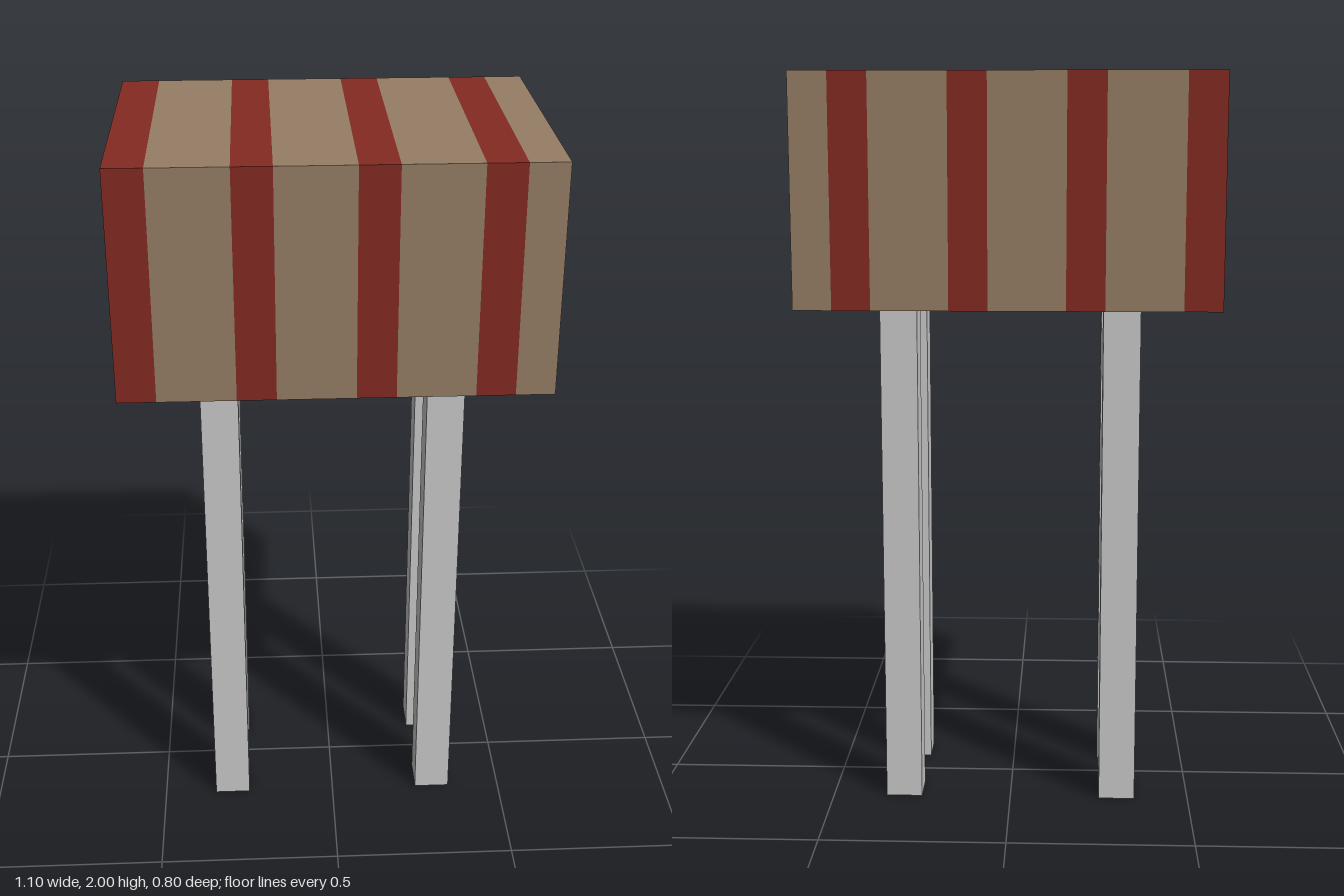
import * as THREE from 'three';

const tan = new THREE.MeshStandardMaterial({ color: 0x967e65 });
tan.name = 'tan';
const red = new THREE.MeshStandardMaterial({ color: 0x842b22 });
red.name = 'darkRed';
const grey = new THREE.MeshStandardMaterial({ color: 0xcbcbcb, side: THREE.DoubleSide, flatShading: true });
grey.name = 'lightGrey';

// Box given by its lower and upper corners
function block(name, material, [x0, y0, z0], [x1, y1, z1]) {
  const mesh = new THREE.Mesh(new THREE.BoxGeometry(x1 - x0, y1 - y0, z1 - z0), material);
  mesh.position.set((x0 + x1) / 2, (y0 + y1) / 2, (z0 + z1) / 2);
  mesh.name = name;
  return mesh;
}

// Alternating 0.1 red and 0.2 tan bands between two limits
function bands(start, end, make) {
  for (let a = start; a < end - 0.01; a += 0.3) {
    make('RedStripe', red, a, a + 0.1);
    make('TanStripe', tan, a + 0.1, Math.min(a + 0.3, end));
  }
}

export function createModel() {
  const model = new THREE.Group();
  model.name = 'stripedBoxOnLegs';

  // Hollow body, open below: roof slab plus four walls 0.1 thick
  const body = new THREE.Group();
  body.name = 'body';
  model.add(body);

  bands(-0.55, 0.55, (label, mat, a, b) => {
    body.add(block('roof' + label, mat, [a, 1.9, -0.4], [b, 2, 0.4]));
    body.add(block('frontWall' + label, mat, [a, 1.4, 0.3], [b, 1.9, 0.4]));
    body.add(block('backWall' + label, mat, [a, 1.4, -0.4], [b, 1.9, -0.3]));
  });

  // Side walls fit between the front and back walls
  bands(-0.3, 0.3, (label, mat, a, b) => {
    body.add(block('leftWall' + label, mat, [0.45, 1.4, a], [0.55, 1.9, b]));
    body.add(block('rightWall' + label, mat, [-0.55, 1.4, a], [-0.45, 1.9, b]));
  });

  // Square, open-ended tube legs
  const legGeometry = new THREE.CylinderGeometry(0.1 * Math.SQRT1_2, 0.1 * Math.SQRT1_2, 1.4, 4, 1, true);
  legGeometry.rotateY(Math.PI / 4);
  for (const x of [-0.3, 0.3]) {
    for (const z of [-0.15, 0.15]) {
      const leg = new THREE.Mesh(legGeometry, grey);
      leg.position.set(x, 0.7, z);
      leg.name = (z > 0 ? 'front' : 'back') + (x > 0 ? 'Left' : 'Right') + 'Leg';
      model.add(leg);
    }
  }
  return model;
}
